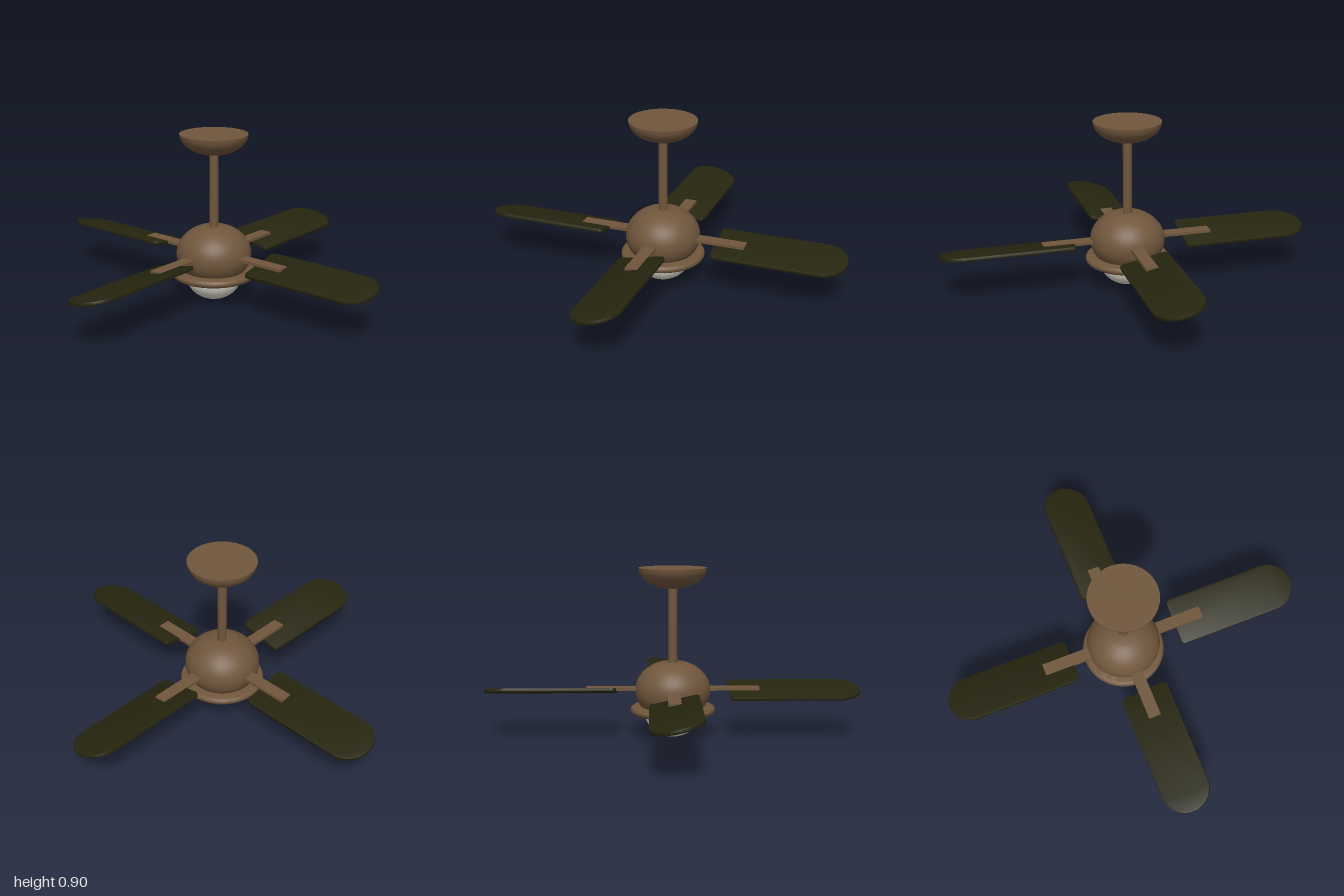
import * as THREE from 'three';
import { toCreasedNormals } from 'three/addons/utils/BufferGeometryUtils.js';

const bronze = new THREE.MeshStandardMaterial({ color: 0x70563c });
bronze.name = 'bronze';
const darkWood = new THREE.MeshStandardMaterial({ color: 0x26250f });
darkWood.name = 'dark wood';
const glass = new THREE.MeshStandardMaterial({ color: 0xdedbcc });
glass.name = 'frosted glass';

// Points on an ellipse arc, angles in degrees from horizontal
function arc(rx, ry, cy, from, to, steps) {
  return Array.from({ length: steps + 1 }, (_, i) => {
    const a = THREE.MathUtils.degToRad(from + ((to - from) * i) / steps);
    return [Math.max(0, rx * Math.cos(a)), cy + ry * Math.sin(a)];
  });
}

// Turned part, profile listed from bottom to top
function turned(name, profile, material, segments = 48) {
  const points = profile.map(([r, y]) => new THREE.Vector2(r, y));
  const geometry = toCreasedNormals(new THREE.LatheGeometry(points, segments), 0.6);
  const mesh = new THREE.Mesh(geometry, material);
  mesh.name = name;
  return mesh;
}

// Blade outline along +x: clipped inner corners, round tip
function bladeGeometry() {
  const bevel = 0.004, w = 0.13 - bevel, x0 = 0.3 + bevel, x1 = 1 - bevel, c = 0.022;
  const shape = new THREE.Shape();
  shape.moveTo(x0 + c, -w);
  shape.lineTo(x1 - w, -w);
  shape.absarc(x1 - w, 0, w, -Math.PI / 2, Math.PI / 2, false);
  shape.lineTo(x0 + c, w);
  shape.quadraticCurveTo(x0, w, x0, w - c);
  shape.lineTo(x0, -w + c);
  shape.quadraticCurveTo(x0, -w, x0 + c, -w);
  const depth = 0.012;
  const geometry = new THREE.ExtrudeGeometry(shape, {
    depth, bevelEnabled: true, bevelThickness: bevel, bevelSize: bevel, bevelSegments: 2, curveSegments: 20,
  });
  geometry.translate(0, 0, -depth / 2);
  geometry.rotateX(-Math.PI / 2 + THREE.MathUtils.degToRad(12));
  geometry.translate(0, 0.2475, 0);
  return toCreasedNormals(geometry, 0.5);
}

export function createModel() {
  const fan = new THREE.Group();
  fan.name = 'ceilingFan';

  // Ceiling canopy and down rod
  fan.add(turned('canopy', [...arc(0.18, 0.11, 0.9, -90, 0, 12), [0, 0.9]], bronze));
  const rod = new THREE.Mesh(new THREE.CylinderGeometry(0.024, 0.024, 0.45, 24), bronze);
  rod.name = 'downRod';
  rod.position.y = 0.6;
  fan.add(rod);

  // Flattened round motor housing with a small flat top
  fan.add(turned('motorHousing', [[0, 0.14], ...arc(0.2, 0.16, 0.25, -40, 69, 18), [0, 0.4]], bronze));

  // Light ring with rounded rim
  const rim = arc(0.02, 0.02, 0.145, -90, 90, 8).map(([r, y]) => [0.205 + r, y]);
  fan.add(turned('lightRing', [[0, 0.125], ...rim, [0, 0.165]], bronze));

  // Glass bowl
  fan.add(turned('glassBowl', [...arc(0.15, 0.13, 0.13, -90, 0, 14), [0, 0.13]], glass));

  // Four pitched blades on flat brackets
  const blade = bladeGeometry();
  const bracket = new THREE.BoxGeometry(0.31, 0.016, 0.066);
  for (let i = 0; i < 4; i++) {
    const arm = new THREE.Group();
    arm.name = `bladeArm${i + 1}`;
    const bladeMesh = new THREE.Mesh(blade, darkWood);
    bladeMesh.name = 'blade';
    const bracketMesh = new THREE.Mesh(bracket, bronze);
    bracketMesh.name = 'bladeBracket';
    bracketMesh.position.set(0.305, 0.258, 0);
    arm.add(bladeMesh, bracketMesh);
    arm.rotation.y = (i * Math.PI) / 2;
    fan.add(arm);
  }
  return fan;
}
